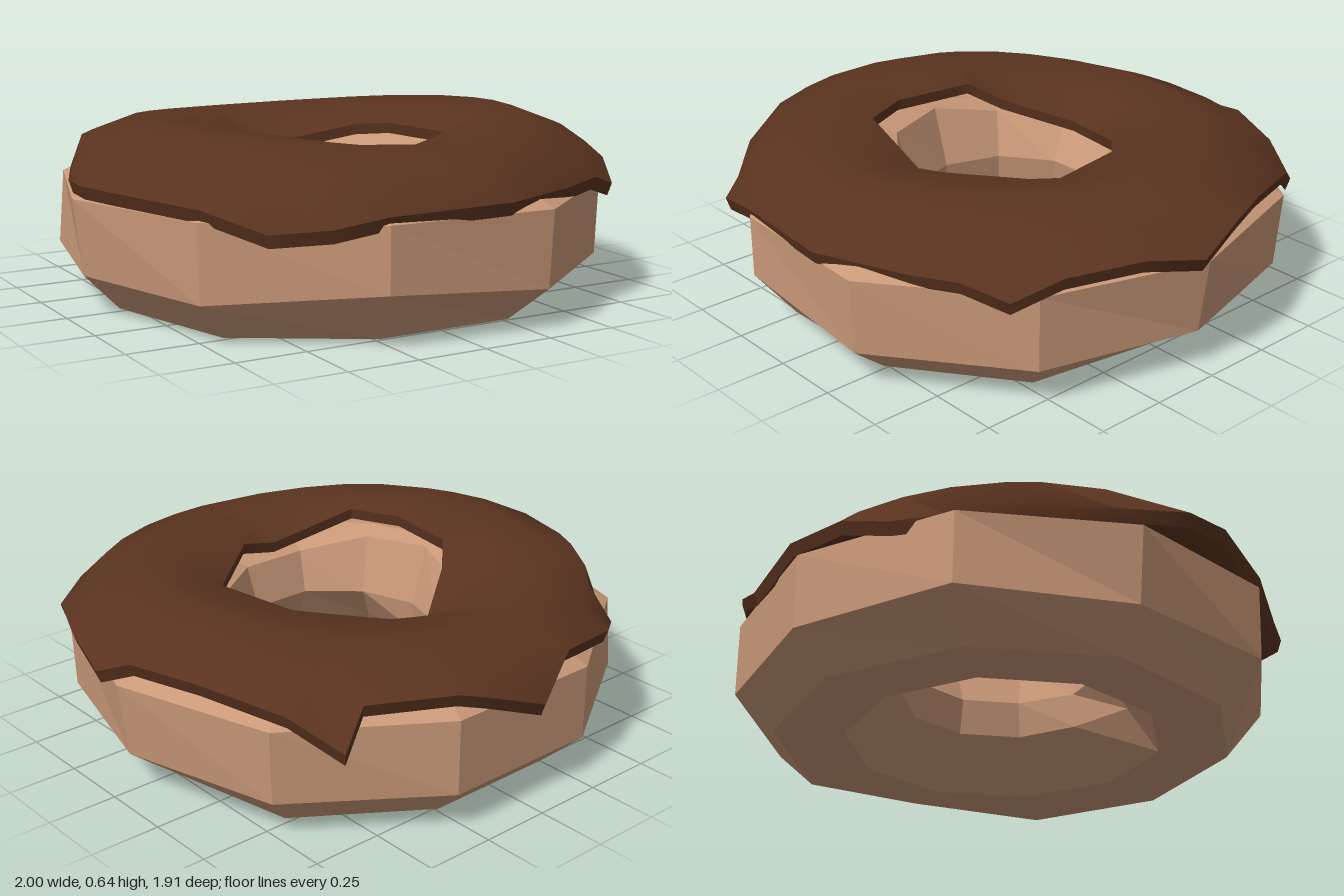
import * as THREE from 'three';
import { toCreasedNormals } from 'three/addons/utils/BufferGeometryUtils.js';

// Closed ring skin: columns[i] is a cross-section loop of [radius, y] at angles[i]
function ringSkin(angles, columns) {
  const n = angles.length, m = columns[0].length;
  const pos = [], index = [];
  columns.forEach((loop, i) => loop.forEach(([r, y]) =>
    pos.push(r * Math.cos(angles[i]), y, r * Math.sin(angles[i]))));
  for (let i = 0; i < n; i++) {
    for (let j = 0; j < m; j++) {
      const i2 = (i + 1) % n, j2 = (j + 1) % m;
      const a = i * m + j, b = i * m + j2, c = i2 * m + j2, d = i2 * m + j;
      index.push(a, b, c, a, c, d);
    }
  }
  const g = new THREE.BufferGeometry();
  g.setAttribute('position', new THREE.Float32BufferAttribute(pos, 3));
  g.setIndex(index);
  g.computeVertexNormals();
  return g;
}

// Per side of the dough: radius at the belly, at the top of the wall, height of the hole's lip
const BELLY = [0.93, 0.96, 0.97, 0.95, 0.96, 0.935, 0.99, 0.95, 0.95, 0.96];
const WALL = [0.965, 0.97, 0.985, 0.95, 0.97, 0.97, 0.97, 0.95, 0.95, 0.98];
const LIP = [0.48, 0.48, 0.47, 0.47, 0.52, 0.53, 0.48, 0.42, 0.42, 0.45];

function createDough() {
  const angles = BELLY.map((_, i) => i * 2 * Math.PI / BELLY.length);
  const columns = angles.map((a, i) => {
    const cone = i === 3 || i === 4; // this side of the hole slopes straight down
    return [
      [0.56, 0.02],
      [i === 0 ? 0.78 : 0.81, i === 0 ? 0.045 : i % 5 === 4 ? 0.002 : 0.012],
      [BELLY[i], i === 3 ? 0.185 : 0.14],
      [WALL[i], 0.405],
      [0.82, 0.48],
      [0.65, 0.525],
      [0.48, LIP[i] + 0.025],
      [0.41, LIP[i]],
      [i === 2 || i === 3 ? 0.365 : 0.345, 0.32],
      cone ? [0.45, 0.18] : [0.37, 0.19],
    ];
  });
  return ringSkin(angles, columns);
}

// Rim of the icing with its drips: x, z, lowest y
const OUTER = [
  [1.0, 0.06, 0.4], [0.95, 0.28, 0.45], [0.84, 0.52, 0.43], [0.76, 0.67, 0.365],
  [0.62, 0.75, 0.41], [0.46, 0.82, 0.4], [0.13, 0.95, 0.4], [-0.3, 0.9, 0.385],
  [-0.48, 0.88, 0.36], [-0.63, 0.74, 0.335], [-0.78, 0.58, 0.4], [-0.96, 0.32, 0.43],
  [-1.0, 0.16, 0.43], [-0.95, -0.08, 0.41], [-0.82, -0.4, 0.4], [-0.63, -0.72, 0.36],
  [-0.48, -0.83, 0.41], [-0.2, -0.9, 0.45], [-0.03, -0.96, 0.33], [0.2, -0.93, 0.42],
  [0.3, -0.9, 0.45], [0.57, -0.76, 0.45], [0.66, -0.78, 0.32], [0.76, -0.62, 0.42],
  [0.88, -0.33, 0.46], [0.98, -0.11, 0.48],
];
// Edge of the icing around the hole: x, z, upper y
const INNER = [
  [0.41, 0.16, 0.55], [0.13, 0.4, 0.56], [-0.01, 0.4, 0.53], [-0.34, 0.34, 0.6],
  [-0.42, 0.16, 0.6], [-0.37, -0.13, 0.605], [-0.28, -0.22, 0.545], [-0.06, -0.38, 0.48],
  [0.08, -0.34, 0.495], [0.27, -0.25, 0.54], [0.36, -0.16, 0.55],
];

// Where a ray at the given angle crosses a closed outline: radius and height
function crossing(outline, angle) {
  const dx = Math.cos(angle), dz = Math.sin(angle);
  for (let i = 0; i < outline.length; i++) {
    const [x1, z1, y1] = outline[i], [x2, z2, y2] = outline[(i + 1) % outline.length];
    const ex = x2 - x1, ez = z2 - z1;
    const det = dx * ez - dz * ex;
    const r = (x1 * ez - z1 * ex) / det;
    const u = (x1 * dz - z1 * dx) / det;
    if (r > 0 && u >= -1e-6 && u <= 1 + 1e-6) return { r, y: y1 + (y2 - y1) * u };
  }
}

function createIcing() {
  // Columns pass through the corners of both outlines
  const angleOf = ([x, z]) => Math.atan2(z, x);
  const angles = OUTER.map(angleOf);
  for (const a of INNER.map(angleOf)) {
    if (angles.every((b) => Math.abs(a - b) > 0.03)) angles.push(a);
  }
  angles.sort((a, b) => a - b);

  const columns = angles.map((a) => {
    const { r, y } = crossing(OUTER, a);
    const hole = crossing(INNER, a);
    const crest = 0.597 + 0.04 * Math.cos(a) ** 2 + 0.01 * Math.sin(a);
    const shoulder = Math.min(0.87, r - 0.04);
    const slope = (crest + hole.y) / 2 + 0.01;
    return [
      [r - 0.015, y], [r, y + 0.045],
      [shoulder, crest - 0.065], [0.7, crest], [0.54, slope], [hole.r, hole.y],
      [hole.r + 0.005, hole.y - 0.04], [0.54, slope - 0.045],
      [0.7, crest - 0.05], [shoulder - 0.01, crest - 0.115],
    ];
  });
  return toCreasedNormals(ringSkin(angles, columns), 0.75);
}

export function createModel() {
  const group = new THREE.Group();
  group.name = 'icedDonut';

  const dough = new THREE.Mesh(createDough(),
    new THREE.MeshStandardMaterial({ color: 0xc99878, flatShading: true }));
  dough.name = 'dough';

  const icing = new THREE.Mesh(createIcing(),
    new THREE.MeshStandardMaterial({ color: 0x5a331f }));
  icing.name = 'icing';

  group.add(dough, icing);
  return group;
}
